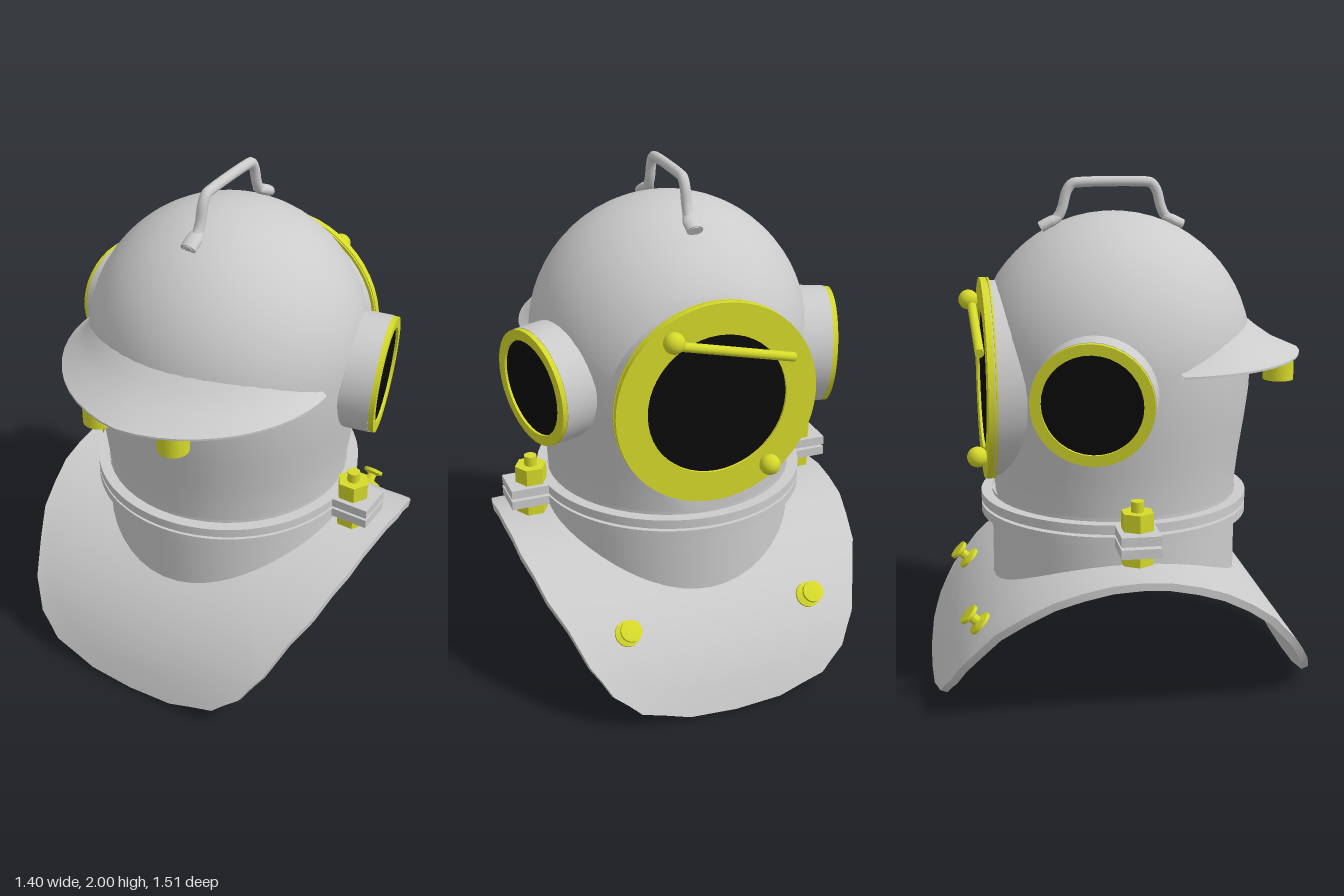
import * as THREE from 'three';
import { toCreasedNormals } from 'three/addons/utils/BufferGeometryUtils.js';

const V = (x, y, z) => new THREE.Vector3(x, y, z);
const grey = new THREE.MeshStandardMaterial({ color: 0xcccccc, side: THREE.DoubleSide });
const yellow = new THREE.MeshStandardMaterial({ color: 0xd6da2a });
const black = new THREE.MeshStandardMaterial({ color: 0x0a0a0a });

function add(parent, name, geometry, material, x = 0, y = 0, z = 0) {
  const mesh = new THREE.Mesh(geometry, material);
  mesh.name = name;
  mesh.position.set(x, y, z);
  parent.add(mesh);
  return mesh;
}

// Skin over rows of points
function loft(rows, crease = 0.6) {
  const pos = [], index = [], n = rows[0].length;
  rows.forEach(row => row.forEach(p => pos.push(p.x, p.y, p.z)));
  for (let i = 0; i < rows.length - 1; i++) for (let j = 0; j < n - 1; j++) {
    const a = i * n + j, b = a + n;
    index.push(a, b, a + 1, b, b + 1, a + 1);
  }
  const g = new THREE.BufferGeometry();
  g.setAttribute('position', new THREE.Float32BufferAttribute(pos, 3));
  g.setIndex(index);
  return toCreasedNormals(g, crease);
}

// Round part along local z, from [radius, z] pairs
function turned(pairs, segments = 32) {
  const g = new THREE.LatheGeometry(pairs.map(p => new THREE.Vector2(p[0], p[1])), segments);
  return toCreasedNormals(g.rotateX(Math.PI / 2), 0.6);
}
const ring = (outer, inner, z0, z1, seg) =>
  turned([[inner, z0], [outer, z0], [outer, z1], [inner, z1], [inner, z0]], seg);

// Saddle curve: an arc over z
const ARC_R = 0.783, ARC_Y = -0.195, NECK_R = 0.492;
const saddlePoint = (x, z, drop = 0) => {
  const k = (ARC_R - drop) / ARC_R;
  return V(x, ARC_Y + Math.sqrt(ARC_R * ARC_R - z * z) * k, z * k);
};

function saddleGeometry() {
  const q = [[0.7, 0], [0.692, 0.22], [0.65, 0.43], [0.55, 0.635], [0.48, 0.7], [0.38, 0.735], [0.19, 0.752]];
  const outline = [
    ...q, [0, 0.755],
    ...q.slice().reverse().map(([x, z]) => [-x, z]),
    ...q.slice(1).map(([x, z]) => [-x, -z]), [0, -0.755],
    ...q.slice().reverse().map(([x, z]) => [x, -z]),
  ];
  const rows = [], steps = 8;
  for (let i = 0; i < outline.length - 1; i++) for (let s = 0; s < 2; s++) {
    const [x0, z0] = outline[i], [x1, z1] = outline[i + 1];
    const x = x0 + (x1 - x0) * s / 2, z = z0 + (z1 - z0) * s / 2;
    const k = NECK_R / Math.hypot(x, z), top = [], under = [];
    for (let j = 0; j <= steps; j++) {
      const t = k + (1 - k) * j / steps;
      top.push(saddlePoint(x * t, z * t));
      under.unshift(saddlePoint(x * t, z * t, 0.03));
    }
    rows.push([...top, ...under, top[0].clone()]);
  }
  rows.push(rows[0]);
  return loft(rows);
}

function neckGeometry() {
  const rows = [];
  for (let i = 0; i <= 48; i++) {
    const a = i / 48 * Math.PI * 2, x = NECK_R * Math.cos(a), z = NECK_R * Math.sin(a);
    rows.push([V(x, 0.77, z), V(x, saddlePoint(x, z).y - 0.02, z)]);
  }
  return loft(rows);
}

// Dome and barrel, flattened behind the main window
function helmetGeometry() {
  const pts = [[0.488, 0.75], [0.492, 0.82], [0.505, 0.93], [0.525, 1.06], [0.54, 1.18]];
  for (let i = 0; i <= 16; i++) {
    const a = i / 16 * Math.PI / 2;
    pts.push([0.546 * Math.cos(a), 1.322 + 0.546 * Math.sin(a)]);
  }
  const g = new THREE.LatheGeometry(pts.map(p => new THREE.Vector2(...p)), 48);
  const p = g.attributes.position;
  for (let i = 0; i < p.count; i++) p.setZ(i, Math.max(p.getZ(i), -0.475));
  return toCreasedNormals(g, 0.6);
}

// Brim tapering round to both sides
function brimGeometry() {
  const rows = [], end = 1.25;
  for (let i = 0; i <= 24; i++) {
    const a = end * (1 - i / 12), u = Math.abs(a) / end;
    const out = 0.755 - 0.19 * Math.pow(u, 1.3), h = 0.135 * (1 - 0.85 * u ** 3);
    const at = (r, y) => V(r * Math.sin(a), y, r * Math.cos(a));
    const w = out - 0.53;
    rows.push([at(0.53, 1.312 + h), at(0.53 + w * 0.2, 1.312 + h * 0.72), at(0.53 + w * 0.52, 1.312 + h * 0.35),
      at(out, 1.312), at(out, 1.304), at(0.52, 1.304)]);
  }
  return loft(rows);
}

// Clamp ring with an ear on each side
function flangeGeometry() {
  const R = 0.535, w = 0.075, a = Math.asin(w / R), s = new THREE.Shape();
  s.moveTo(0.68, -w).lineTo(0.68, w);
  s.absarc(0, 0, R, a, Math.PI - a, false);
  s.lineTo(-0.68, w).lineTo(-0.68, -w);
  s.absarc(0, 0, R, Math.PI + a, Math.PI * 2 - a, false);
  s.closePath();
  s.holes.push(new THREE.Path().absarc(0, 0, 0.48, 0, Math.PI * 2, true));
  const g = new THREE.ExtrudeGeometry(s, { depth: 0.036, bevelEnabled: false, curveSegments: 24 });
  return toCreasedNormals(g.rotateX(-Math.PI / 2), 0.5);
}

// Window facing local +z
function porthole(name, R, glassR, depth, rim, seg) {
  const g = new THREE.Group();
  g.name = name;
  add(g, 'windowTube', ring(R, R - 0.02, -depth, 0, seg), grey);
  add(g, 'windowRim', ring(R + rim, glassR, -0.004, 0.02, seg), yellow);
  add(g, 'windowGlass', new THREE.CircleGeometry(glassR + 0.005, seg), black, 0, 0, 0.01);
  return g;
}

export function createModel() {
  const model = new THREE.Group();
  model.name = 'divingHelmet';
  add(model, 'saddle', saddleGeometry(), grey);
  add(model, 'neck', neckGeometry(), grey);
  add(model, 'helmet', helmetGeometry(), grey);
  add(model, 'brim', brimGeometry(), grey);
  const flange = flangeGeometry();
  add(model, 'lowerFlange', flange, grey, 0, 0.674, 0);
  add(model, 'upperFlange', flange, grey, 0, 0.721, 0);

  // Main window at the back, with hinge bar and knobs
  const main = porthole('mainWindow', 0.385, 0.275, 0.14, 0.012, 48);
  main.position.set(0, 1.22, -0.505);
  main.rotation.y = Math.PI;
  add(main, 'backPlate', ring(0.397, 0.3, -0.016, -0.009, 48), yellow);
  model.add(main);
  const ball = new THREE.SphereGeometry(0.04, 20, 14);
  add(model, 'upperKnob', ball, yellow, 0.187, 1.505, -0.56);
  add(model, 'lowerKnob', ball, yellow, -0.2, 0.953, -0.56);
  const barPath = new THREE.LineCurve3(V(0.187, 1.49, -0.548), V(-0.29, 1.375, -0.548));
  add(model, 'windowBar', new THREE.TubeGeometry(barPath, 1, 0.018, 12), yellow);
  const barEnd = add(model, 'windowBarEnd', new THREE.CircleGeometry(0.018, 12), yellow, -0.29, 1.375, -0.548);
  barEnd.lookAt(-0.767, 1.26, -0.548);

  for (const s of [1, -1]) {
    const side = s > 0 ? 'left' : 'right';

    // Side window
    const win = porthole(side + 'Window', 0.23, 0.187, 0.2, -0.002, 36);
    win.position.set(s * 0.592, 1.235, -0.166);
    win.lookAt(s * (0.592 + 0.965), 1.235 - 0.06, -0.166 - 0.263);
    model.add(win);

    // Clamp bolt
    const bolt = new THREE.Group();
    bolt.name = side + 'Bolt';
    bolt.position.x = s * 0.58;
    const nut = h => toCreasedNormals(new THREE.CylinderGeometry(0.064, 0.064, h, 6).rotateY(Math.PI / 6), 0.3);
    add(bolt, 'upperNut', nut(0.068), yellow, 0, 0.791, 0);
    add(bolt, 'lowerNut', nut(0.05), yellow, 0, 0.65, 0);
    add(bolt, 'stud', new THREE.CylinderGeometry(0.025, 0.025, 0.22, 16), yellow, 0, 0.755, 0);
    model.add(bolt);

    // Stubs under the brim
    add(model, side + 'BrimStub', new THREE.CylinderGeometry(0.06, 0.06, 0.09, 24), yellow, s * 0.165, 1.26, 0.635);

    // Fastening stud on the back of the saddle
    const stud = add(model, side + 'SaddleStud', turned([[0, -0.01], [0.05, -0.01], [0.05, 0.01], [0.02, 0.02],
      [0.02, 0.046], [0.042, 0.054], [0.042, 0.068], [0, 0.072]], 20), yellow);
    stud.position.copy(saddlePoint(s * 0.38, -0.573));
    stud.lookAt(s * 0.38, stud.position.y + 0.68, stud.position.z - 0.73);
  }

  // Carrying handle with thickened feet
  const path = new THREE.CatmullRomCurve3([V(0, 1.808, 0.275), V(0, 1.845, 0.21), V(0, 1.88, 0.19), V(0, 1.945, 0.172),
    V(0, 1.975, 0.15), V(0, 1.98, 0.115), V(0, 1.98, -0.125), V(0, 1.975, -0.16), V(0, 1.945, -0.182),
    V(0, 1.88, -0.2), V(0, 1.845, -0.22), V(0, 1.808, -0.285)], false, 'centripetal');
  add(model, 'handle', new THREE.TubeGeometry(path, 60, 0.02, 12), grey);
  for (const s of [1, -1]) {
    const foot = add(model, 'handleFoot', turned([[0, -0.04], [0.032, -0.04], [0.032, 0.01], [0.02, 0.045]], 12), grey,
      0, 1.828, s * 0.243 - 0.005);
    foot.scale.y = 0.7;
    foot.lookAt(0, 1.828 + 0.5, s * 0.243 - 0.005 - s);
  }
  return model;
}
